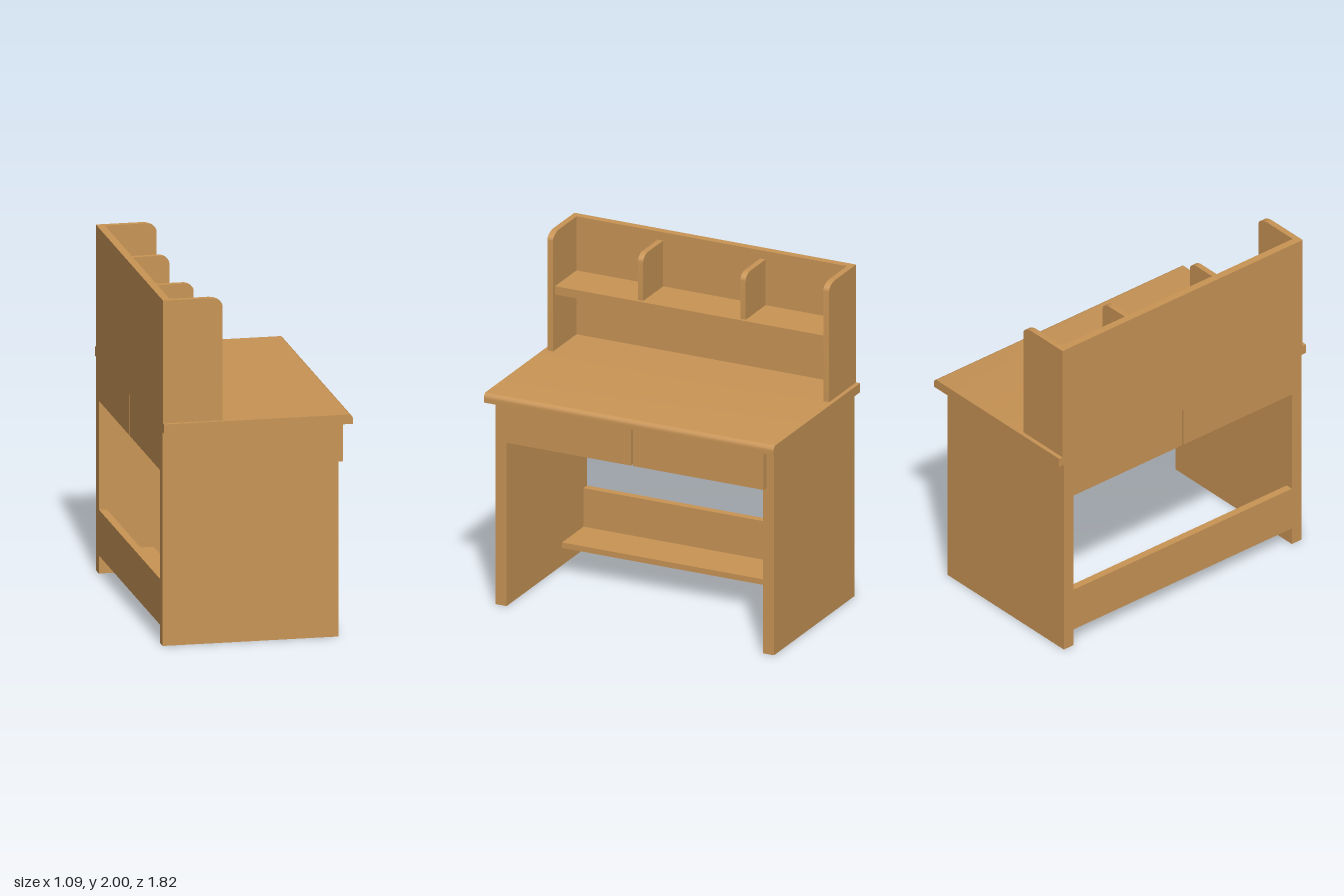
import * as THREE from 'three';
import { toCreasedNormals } from 'three/addons/utils/BufferGeometryUtils.js';

const wood = new THREE.MeshStandardMaterial({ color: 0xc89455 });
wood.name = 'warm wood';

// Square board given by its extents on each axis
function board(name, [x0, x1], [y0, y1], [z0, z1]) {
  const mesh = new THREE.Mesh(new THREE.BoxGeometry(x1 - x0, y1 - y0, z1 - z0), wood);
  mesh.position.set((x0 + x1) / 2, (y0 + y1) / 2, (z0 + z1) / 2);
  mesh.name = name;
  return mesh;
}

// Board whose upper front (+x) corner is rounded by rx, ry
function roundedBoard(name, [x0, x1], [y0, y1], [z0, z1], rx, ry) {
  const shape = new THREE.Shape();
  shape.moveTo(x0, y0);
  shape.lineTo(x1, y0);
  shape.lineTo(x1, y1 - ry);
  shape.absellipse(x1 - rx, y1 - ry, rx, ry, 0, Math.PI / 2, false, 0);
  shape.lineTo(x0, y1);
  shape.closePath();
  const solid = new THREE.ExtrudeGeometry(shape, { depth: z1 - z0, bevelEnabled: false, curveSegments: 10 });
  const mesh = new THREE.Mesh(toCreasedNormals(solid, 0.6), wood);
  mesh.position.z = z0;
  mesh.name = name;
  return mesh;
}

export function createModel() {
  const desk = new THREE.Group();
  desk.name = 'desk';
  const back = -0.545, inner = -0.5;

  // Desk top with a softened front edge
  desk.add(roundedBoard('deskTop', [back, 0.54], [1.235, 1.29], [-0.908, 0.908], 0.025, 0.03));

  // Parts that come in mirrored pairs
  for (const [side, s] of [['left', -1], ['right', 1]]) {
    const span = (a, b) => (s > 0 ? [a, b] : [-b, -a]);
    desk.add(
      board(side + 'SidePanel', [back, 0.465], [0, 1.235], span(0.803, 0.873)),
      board(side + 'DrawerBody', [back, 0.465], [1, 1.235], span(0.006, 0.803)),
      board(side + 'DrawerFront', [0.465, 0.5], [1, 1.235], span(0.006, 0.825)),
      roundedBoard(side + 'HutchSide', [inner, -0.205], [1.29, 2], span(0.847, 0.883), 0.08, 0.045),
      roundedBoard(side + 'Divider', [inner, -0.25], [1.675, 1.95], span(0.304, 0.338), 0.06, 0.045)
    );
  }

  // Hutch back and shelf
  desk.add(board('hutchBack', [back, inner], [1.29, 2], [-0.883, 0.883]));
  desk.add(board('hutchShelf', [inner, -0.23], [1.625, 1.675], [-0.847, 0.847]));

  // Lower rail and foot shelf
  desk.add(board('backRail', [back, inner], [0.105, 0.37], [-0.803, 0.803]));
  desk.add(board('footShelf', [inner, -0.23], [0.105, 0.138], [-0.803, 0.803]));

  return desk;
}
